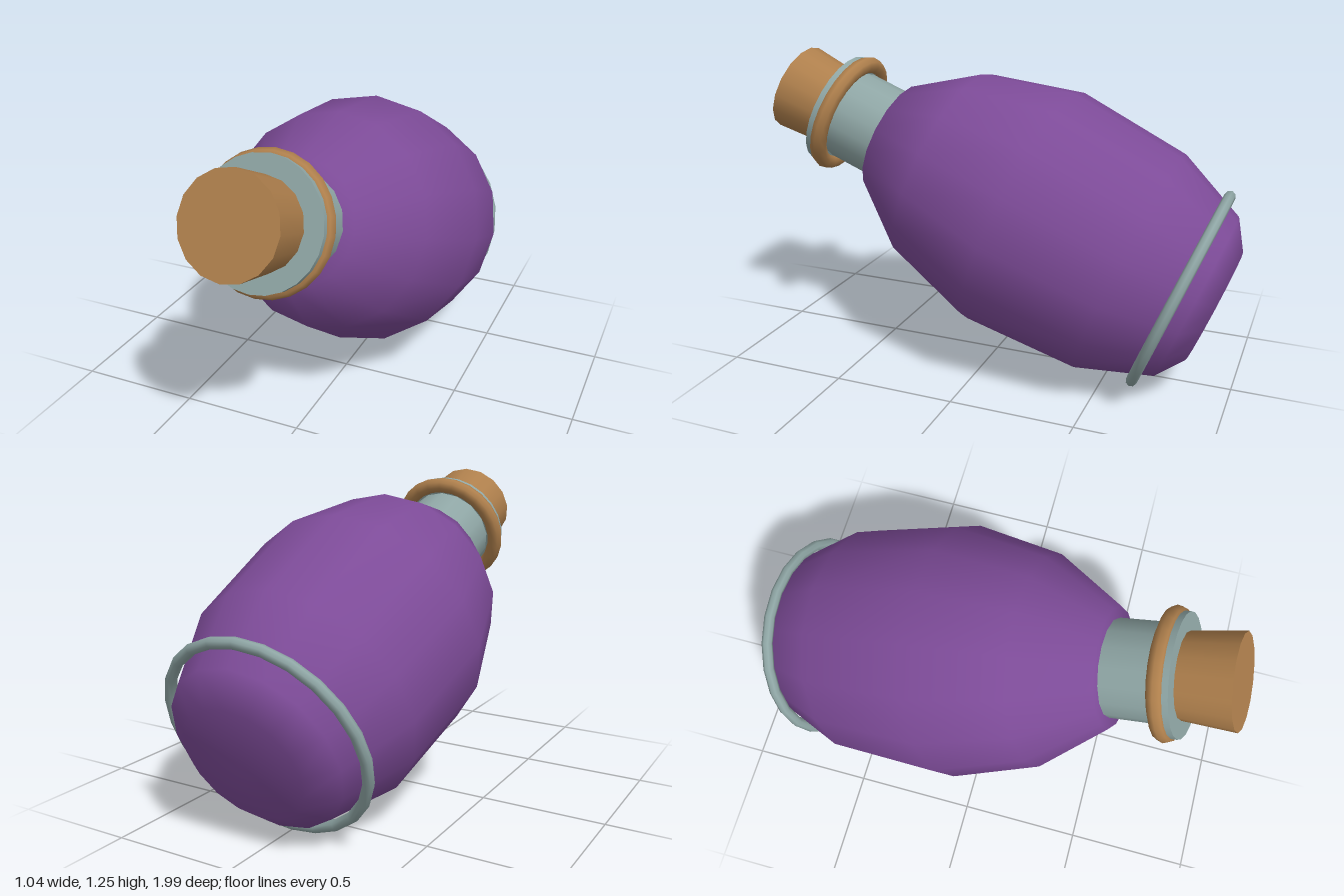
import * as THREE from 'three';

export function createModel() {
  const mat = (name, color) => {
    const m = new THREE.MeshStandardMaterial({ color });
    m.name = name;
    return m;
  };
  const purple = mat('purple glaze', 0x7d4b98);
  const grey = mat('grey metal', 0x8ea5a4);
  const cork = mat('cork brown', 0xae7f4c);

  // Everything is turned about one axis (local +y), which is then tilted forward
  const bottle = new THREE.Group();
  bottle.name = 'bottle';
  const add = (name, geometry, material, y = 0) => {
    const mesh = new THREE.Mesh(geometry, material);
    mesh.name = name;
    mesh.position.y = y;
    bottle.add(mesh);
  };
  const drum = (name, rTop, rBottom, y0, y1, material) =>
    add(name, new THREE.CylinderGeometry(rTop, rBottom, y1 - y0, 16), material, (y0 + y1) / 2);
  const ring = (name, radius, tube, y, material) =>
    add(name, new THREE.TorusGeometry(radius, tube, 8, 24).rotateX(Math.PI / 2), material, y);

  // Rounded body, closed at both ends
  const profile = [
    [0, -0.709], [0.24, -0.709], [0.354, -0.633], [0.48, -0.34],
    [0.52, 0.137], [0.422, 0.511], [0.237, 0.778], [0, 0.778],
  ].map(([r, y]) => new THREE.Vector2(r, y));
  add('body', new THREE.LatheGeometry(profile, 16), purple);

  // Ring round the foot
  ring('footRing', 0.41, 0.022, -0.565, grey);

  // Neck, lip and the band round the lip
  drum('neck', 0.193, 0.193, 0.74, 1.0, grey);
  add('lip', new THREE.CylinderGeometry(0.24, 0.24, 0.066, 24), grey, 1.023);
  ring('neckBand', 0.226, 0.034, 1.004, cork);

  // Tapered stopper
  drum('stopper', 0.186, 0.167, 1.04, 1.266, cork);

  bottle.rotation.x = Math.PI / 2 - 0.3805;
  bottle.position.set(0, 0.625, -0.25);

  const model = new THREE.Group();
  model.name = 'corkedBottle';
  model.add(bottle);
  return model;
}
